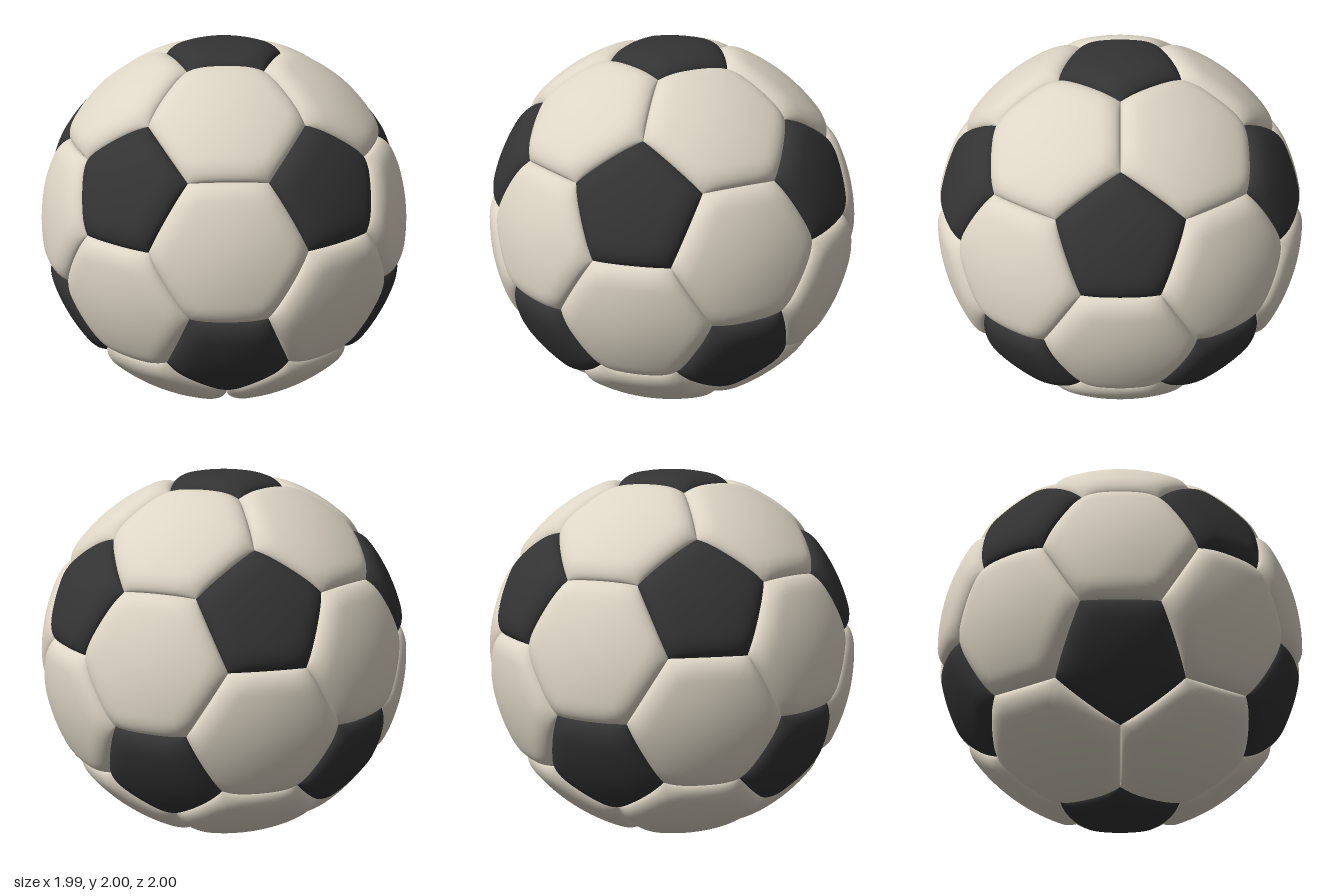
import * as THREE from 'three';

const SEAM_RADIUS = 0.95, OUTER_RADIUS = 1, BEVEL = 0.11;
const RINGS = 18, SIDE_STEPS = 16;

// Twelve icosahedron corners: two poles and two staggered rings of five
function icosahedronPoints() {
  const y = 1 / Math.sqrt(5), r = 2 / Math.sqrt(5);
  const points = [new THREE.Vector3(0, 1, 0), new THREE.Vector3(0, -1, 0)];
  for (let i = 0; i < 5; i++) {
    const a = (i * Math.PI * 2) / 5;
    points.push(new THREE.Vector3(r * Math.sin(a), y, r * Math.cos(a)));
    points.push(new THREE.Vector3(-r * Math.sin(a), -y, -r * Math.cos(a)));
  }
  return points;
}

// Point one third of the way from a to b, scaled onto the unit sphere
const cut = (a, b) => a.clone().lerp(b, 1 / 3).normalize();

// Order corners counter-clockwise as seen from outside
function sortAround(corners) {
  const centre = corners.reduce((s, p) => s.add(p), new THREE.Vector3()).divideScalar(corners.length);
  const n = centre.clone().normalize();
  const u = corners[0].clone().sub(centre).normalize();
  const v = n.clone().cross(u);
  const angle = (p) => Math.atan2(p.clone().sub(centre).dot(v), p.clone().sub(centre).dot(u));
  return { centre, corners: [...corners].sort((p, q) => angle(p) - angle(q)) };
}

// Cushioned panel: a polygon pushed out to the sphere and rounded down to its seams
function panelGeometry(cornerList) {
  const { centre, corners } = sortAround(cornerList);
  const n = corners.length, count = n * SIDE_STEPS;
  const mids = corners.map((p, i) => p.clone().lerp(corners[(i + 1) % n], 0.5).sub(centre));
  const inradius = mids[0].length();
  const inward = mids.map((m) => m.normalize());
  const positions = [], index = [];

  const addPoint = (flat) => {
    const local = flat.clone().sub(centre);
    let puff = 1;
    for (const dir of inward) {
      const t = THREE.MathUtils.clamp((inradius - local.dot(dir)) / BEVEL, 0, 1);
      puff *= Math.sqrt(1 - (1 - t) ** 2);
    }
    const radius = SEAM_RADIUS + (OUTER_RADIUS - SEAM_RADIUS) * puff;
    const p = flat.clone().setLength(radius);
    positions.push(p.x, p.y + 1, p.z);
  };

  addPoint(centre);
  for (let ring = 1; ring <= RINGS; ring++) {
    const k = 1 - (1 - ring / RINGS) ** 2; // rings crowd toward the seam
    for (let i = 0; i < count; i++) {
      const side = Math.floor(i / SIDE_STEPS);
      const edge = corners[side].clone().lerp(corners[(side + 1) % n], (i % SIDE_STEPS) / SIDE_STEPS);
      addPoint(centre.clone().lerp(edge, k));
    }
  }
  for (let i = 0; i < count; i++) {
    const j = (i + 1) % count;
    index.push(0, 1 + i, 1 + j);
    for (let ring = 0; ring < RINGS - 1; ring++) {
      const a = 1 + ring * count, b = a + count;
      index.push(a + i, b + i, b + j, a + i, b + j, a + j);
    }
  }
  const geometry = new THREE.BufferGeometry();
  geometry.setAttribute('position', new THREE.Float32BufferAttribute(positions, 3));
  geometry.setIndex(index);
  geometry.computeVertexNormals();
  return geometry;
}

export function createModel() {
  const ball = new THREE.Group();
  ball.name = 'ball';
  const dark = new THREE.MeshStandardMaterial({ color: 0x333333 });
  const light = new THREE.MeshStandardMaterial({ color: 0xddd5c5 });
  const points = icosahedronPoints();
  const near = (a, b) => a !== b && a.distanceTo(b) < 1.1;

  const addPanel = (corners, material, name) => {
    const mesh = new THREE.Mesh(panelGeometry(corners), material);
    mesh.name = name;
    ball.add(mesh);
  };

  // Dark pentagons, one per icosahedron corner
  points.forEach((p, i) => {
    addPanel(points.filter((q) => near(p, q)).map((q) => cut(p, q)), dark, `pentagonPanel${i + 1}`);
  });

  // Light hexagons, one per icosahedron face
  let hexagons = 0;
  points.forEach((a, i) => points.forEach((b, j) => points.forEach((c, k) => {
    if (i < j && j < k && near(a, b) && near(b, c) && near(a, c)) {
      const corners = [cut(a, b), cut(b, a), cut(b, c), cut(c, b), cut(c, a), cut(a, c)];
      addPanel(corners, light, `hexagonPanel${++hexagons}`);
    }
  })));
  return ball;
}
